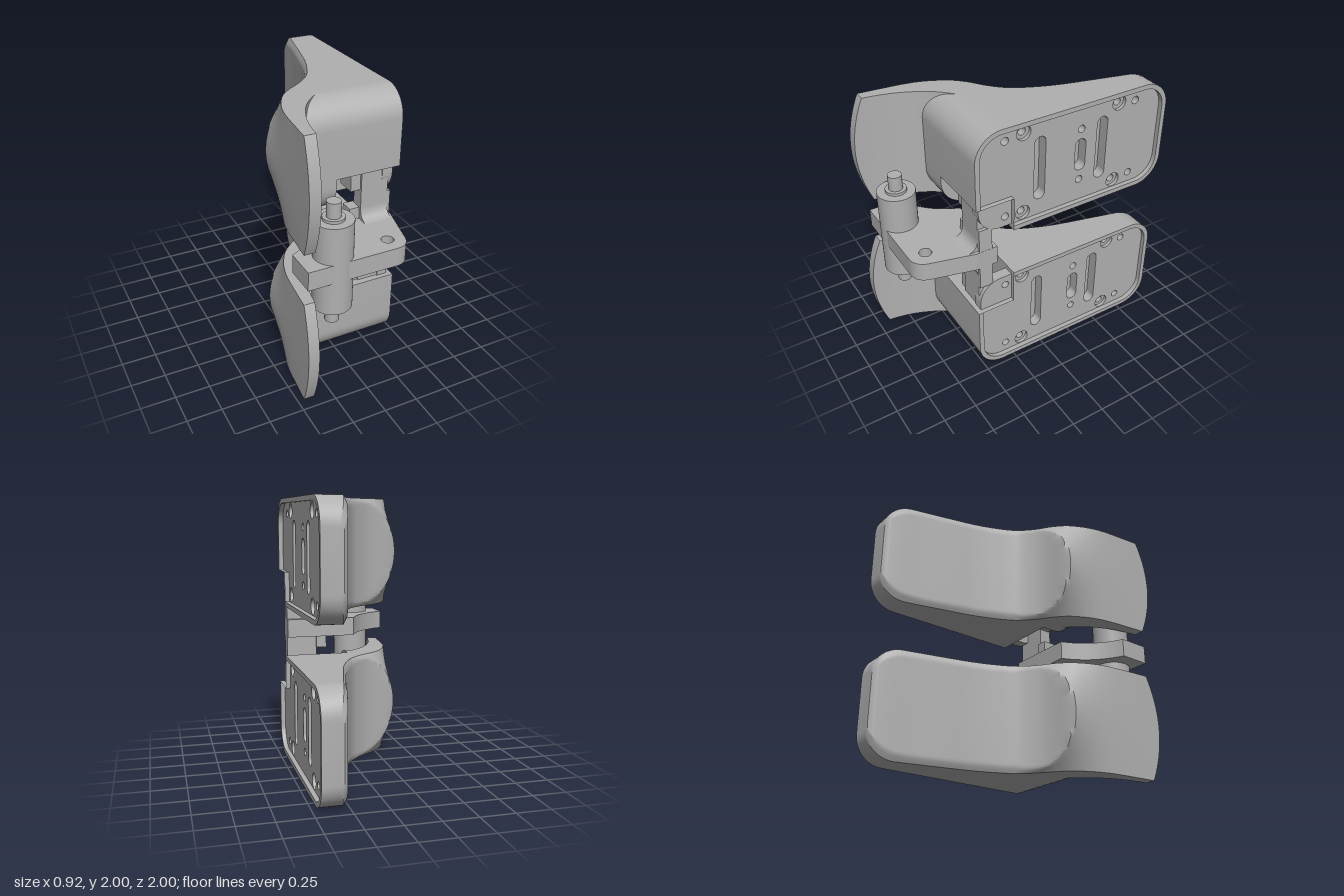
import * as THREE from 'three';
import { mergeGeometries, toCreasedNormals } from 'three/addons/utils/BufferGeometryUtils.js';

const grey = new THREE.MeshStandardMaterial({ color: 0xb0b0b0, side: THREE.DoubleSide });
grey.name = 'machinedGrey';

function add(group, name, geometry) {
  const mesh = new THREE.Mesh(geometry, grey);
  mesh.name = name;
  group.add(mesh);
  return mesh;
}

// Smooth curve through [z, x] points
function curve(pts) {
  const slope = (i) => {
    const a = pts[Math.max(0, i - 1)], b = pts[Math.min(pts.length - 1, i + 1)];
    return (b[1] - a[1]) / (b[0] - a[0]);
  };
  return (z) => {
    let i = 0;
    while (i < pts.length - 2 && z > pts[i + 1][0]) i++;
    const [z0, x0] = pts[i], [z1, x1] = pts[i + 1], d = z1 - z0;
    const t = THREE.MathUtils.clamp((z - z0) / d, 0, 1), u = 1 - t;
    return x0 * (1 + 2 * t) * u * u + slope(i) * d * t * u * u
      + x1 * t * t * (3 - 2 * t) - slope(i + 1) * d * t * t * u;
  };
}

// Surface of (nu x nv) quads; skip(i) leaves a row out
function grid(nu, nv, point, skip = () => false) {
  const pos = [], index = [];
  for (let i = 0; i <= nu; i++) for (let j = 0; j <= nv; j++) pos.push(...point(i, j));
  for (let i = 0; i < nu; i++) {
    if (skip(i)) continue;
    for (let j = 0; j < nv; j++) {
      const a = i * (nv + 1) + j, b = a + nv + 1;
      index.push(a, b, a + 1, b, b + 1, a + 1);
    }
  }
  const g = new THREE.BufferGeometry();
  g.setAttribute('position', new THREE.Float32BufferAttribute(pos, 3));
  g.setIndex(index);
  return g;
}

// Pad curves: scooped face, flap crown, flap edge, and inner side
const scoop = curve([[-1, 0.31], [-0.97, 0.283], [-0.7, 0.222], [-0.45, 0.16], [-0.3, 0.12], [-0.15, 0.065],
  [0, -0.01], [0.08, -0.09], [0.15, -0.2], [0.21, -0.4], [0.25, -0.6]]);
const edge = curve([[-1, 0.33], [-0.95, 0.305], [-0.7, 0.242], [-0.45, 0.18], [-0.3, 0.14], [-0.15, 0.085],
  [0, 0.01], [0.08, -0.06], [0.14, -0.13], [0.2, -0.215], [0.3, -0.31], [0.5, -0.4], [0.78, -0.44], [1, -0.46]]);
const inner = curve([[-1, 0.335], [-0.6, 0.27], [-0.3, 0.18], [0, 0.1], [0.2, 0], [0.25, -0.035], [0.34, -0.09],
  [0.44, -0.19], [0.54, -0.26], [0.7, -0.33], [0.82, -0.36], [0.92, -0.375], [1, -0.38]]);
const H = 0.405, R = 0.2;
const halfHeight = (z) => (z < -0.8 ? H - R + Math.sqrt(Math.max(0, R * R - (z + 0.8) ** 2)) : H);

function outer(z, s) {
  const e = edge(z);
  const crown = Math.max(-0.384 - 0.077 * z, e - 0.1 - 1.9 * Math.max(0, z));
  return Math.max(scoop(z), crown + (e - crown) * s * s);
}

// Curved plate of the pad, flap included
function plateGeometry() {
  const zs = [];
  for (let i = 0; i < 14; i++) zs.push(-0.8 - 0.2 * Math.cos((i / 14) * Math.PI / 2));
  for (let i = 0; i <= 90; i++) zs.push(-0.8 + 1.8 * i / 90);
  const n = 48, rows = zs.length - 1;
  const at = (i, j, side) => {
    const s = 2 * j / n - 1;
    const z = zs[i] - 0.09 * s * s * THREE.MathUtils.smoothstep(zs[i], 0.5, 1);
    return [side ? inner(z) : outer(z, s), s * halfHeight(zs[i]), z];
  };
  const loop = grid(rows, 2 * n + 2, (i, j) => (j === 2 * n + 2 ? at(i, 0, 0)
    : j <= n ? at(i, j, 0) : at(i, 2 * n + 1 - j, 1)));
  const cap = (i) => grid(n, 1, (j, k) => at(i, j, i ? k : 1 - k));
  return toCreasedNormals(mergeGeometries([loop, cap(0), cap(rows)]), 0.45);
}

// Rounded outline of the pad body as [z, v], inset by d
function outline(d) {
  const pts = [], r = R - d;
  const corner = (cz, cv, a0) => {
    for (let i = 0; i <= 12; i++) {
      const a = (a0 + i / 12) * Math.PI / 2;
      pts.push([cz + r * Math.cos(a), cv + r * Math.sin(a)]);
    }
  };
  const v = H - R;
  corner(0.34, -v, -1);
  pts.push([0.34 + r, -0.145]);
  corner(0.34, v, 0);
  for (let i = 1; i < 38; i++) pts.push([0.34 - 0.03 * i, H - d]);
  corner(-0.8, v, 1);
  corner(-0.8, -v, 2);
  for (let i = 1; i <= 35; i++) pts.push([-0.8 + 0.03 * i, -H + d]);
  pts.push([0.34, -H + d]);
  return pts;
}

// Shape in the z-y plane, pushed along x
const toShape = (pts) => new THREE.Shape(pts.map(([z, y]) => new THREE.Vector2(-z, y)));
function extrudeX(shape, x0, x1) {
  return new THREE.ExtrudeGeometry(shape, { depth: x1 - x0, bevelEnabled: false, curveSegments: 20 })
    .rotateY(Math.PI / 2).translate(x0, 0, 0);
}

// Round hole, or an upright slot when half is given
function hole(z, v, r, half = 0) {
  const p = new THREE.Path();
  p.absarc(-z, v + half, r, 0, Math.PI, false);
  p.absarc(-z, v - half, r, Math.PI, Math.PI * 2, false);
  p.closePath();
  return p;
}

function mountingPlate(x0, x1, screwRadius) {
  const shape = toShape(outline(0.035));
  shape.holes.push(hole(0.03, 0, 0.044, 0.2), hole(-0.475, 0, 0.044, 0.2), hole(-0.3, 0, 0.044, 0.08));
  for (const side of [-1, 1]) {
    shape.holes.push(hole(-0.3, side * 0.2, 0.028));
    for (const z of [0.3, -0.745]) shape.holes.push(hole(z, side * 0.292, 0.028));
    for (const z of [0.16, -0.605]) shape.holes.push(hole(z, side * 0.31, screwRadius));
  }
  return extrudeX(shape, x0, x1);
}

function createPad(name) {
  const pad = new THREE.Group();
  pad.name = name;
  add(pad, 'curvedPlate', plateGeometry());

  // Body wall and raised lip, both open at the bracket notch
  const out = outline(0), ins = outline(0.035), n = out.length - 1;
  const notch = (i) => [out[i], out[i + 1]].every(([z, v]) => z > 0.249 && v < -0.144);
  const wallStart = ([z, v]) => (outer(z, v / halfHeight(z)) + inner(z)) / 2;
  const wall = (x1, skip) => grid(n, 1, (i, k) => [k ? x1 : wallStart(out[i]), out[i][1], out[i][0]], skip);
  add(pad, 'bodyWall', toCreasedNormals(mergeGeometries([
    wall(0.46, notch), wall(-0.03, (i) => !notch(i))]), 0.5));
  add(pad, 'lip', toCreasedNormals(mergeGeometries([
    grid(n, 1, (i, k) => { const p = (k ? ins : out)[i]; return [0.46, p[1], p[0]]; }, notch),
    grid(n, 1, (i, k) => [k ? 0.42 : 0.46, ins[i][1], ins[i][0]], notch)]), 0.5));

  // Mounting face with counterbored screw holes and slots
  add(pad, 'mountingFace', mountingPlate(0.4, 0.425, 0.055));
  add(pad, 'mountingBase', mountingPlate(0.345, 0.4, 0.028));
  add(pad, 'holeFloor', new THREE.ShapeGeometry(toShape(outline(0.035))).rotateY(Math.PI / 2).translate(0.345, 0, 0));

  // Pocket that takes the bracket
  const quad = (f) => toCreasedNormals(grid(1, 1, f), 0.5);
  add(pad, 'pocketCeiling', quad((i, k) => [i ? 0.46 : -0.03, -0.145, k ? 0.54 : 0.25]));
  add(pad, 'pocketBack', quad((i, k) => [i ? 0.46 : -0.03, k ? -0.145 : -H, 0.25]));
  const side = [[0.25, -0.145], [0.25, -H], ...out.slice(0, 14)];
  add(pad, 'pocketSide', new THREE.ShapeGeometry(toShape(side)).rotateY(Math.PI / 2).translate(-0.03, 0, 0));
  return pad;
}

function createBracket() {
  const bracket = new THREE.Group();
  bracket.name = 'bracket';

  // Flat arm with pivot hole
  const arm = new THREE.Shape();
  arm.moveTo(0.42, -0.36);
  arm.lineTo(-0.11, -0.36);
  arm.quadraticCurveTo(-0.2, -0.6, -0.435, -0.7);
  arm.lineTo(-0.435, -0.935);
  arm.lineTo(0.22, -0.935);
  arm.quadraticCurveTo(0.315, -0.935, 0.34, -0.84);
  arm.lineTo(0.42, -0.52);
  arm.holes.push(new THREE.Path().absarc(0.22, -0.81, 0.045, 0, Math.PI * 2, true));
  add(bracket, 'arm', new THREE.ExtrudeGeometry(arm, { depth: 0.14, bevelEnabled: false, curveSegments: 24 })
    .rotateX(-Math.PI / 2).translate(0, 0.93, 0));

  // Upright web with fillets into the arm
  const web = new THREE.Shape();
  web.moveTo(-0.4, 0.555);
  web.lineTo(-0.4, 1.445);
  web.lineTo(-0.5, 1.445);
  web.lineTo(-0.5, 1.16);
  web.quadraticCurveTo(-0.505, 1.07, -0.59, 1.069);
  web.lineTo(-0.59, 0.931);
  web.quadraticCurveTo(-0.505, 0.93, -0.5, 0.84);
  web.lineTo(-0.5, 0.555);
  add(bracket, 'web', extrudeX(web, 0.185, 0.395));
  add(bracket, 'webEdge', new THREE.BoxGeometry(0.024, 0.5, 0.1).translate(0.407, 1, 0.45));
  for (const s of [-1, 1]) {
    add(bracket, 'innerTab', new THREE.BoxGeometry(0.08, 0.09, 0.1).translate(0.15, 1 + s * 0.115, 0.43));
    add(bracket, 'outerTab', new THREE.BoxGeometry(0.08, 0.145, 0.15).translate(0.15, 1 + s * 0.373, 0.41));
  }

  // Roller with collars and pin
  for (const [name, r, h] of [['roller', 0.137, 0.66], ['collar', 0.076, 0.7], ['pin', 0.05, 0.92]])
    add(bracket, name, new THREE.CylinderGeometry(r, r, h, 48).translate(-0.195, 1.01, 0.81));
  return bracket;
}

export function createModel() {
  const model = new THREE.Group();
  model.name = 'twinPadClamp';
  const upper = createPad('upperPad');
  upper.position.y = 1.595;
  const lower = createPad('lowerPad');
  lower.position.y = 0.405;
  lower.scale.y = -1;
  model.add(upper, lower, createBracket());
  return model;
}
